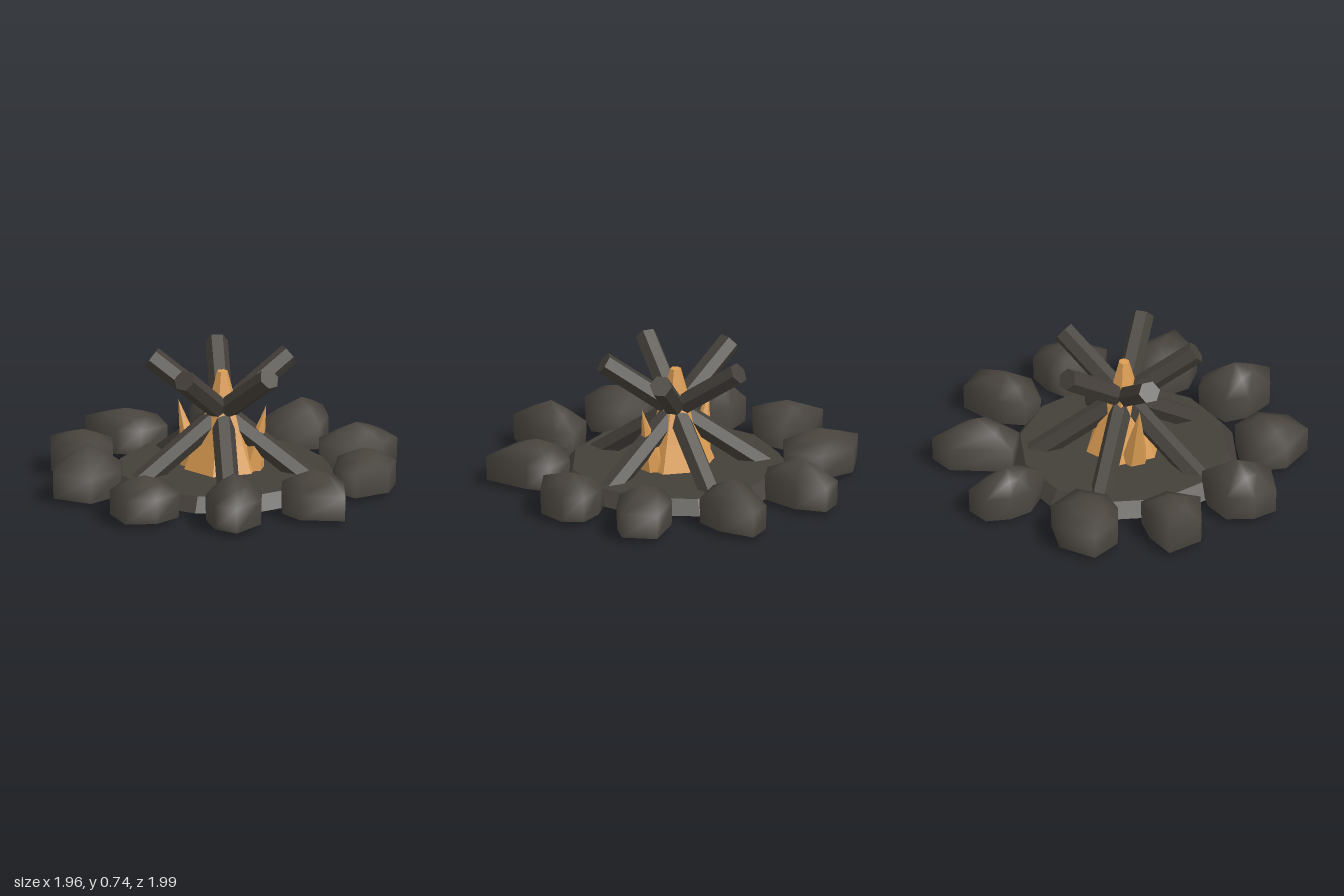
import * as THREE from 'three';

const charredWood = new THREE.MeshStandardMaterial({ color: 0x443f39, flatShading: true, side: THREE.DoubleSide });
charredWood.name = 'charred wood';
const stone = new THREE.MeshStandardMaterial({ color: 0x48433d, side: THREE.DoubleSide });
stone.name = 'stone';
const fire = new THREE.MeshStandardMaterial({ color: 0xdc9d53, flatShading: true, side: THREE.DoubleSide });
fire.name = 'fire';

function add(parent, name, geometry, material) {
  const mesh = new THREE.Mesh(geometry, material);
  mesh.name = name;
  parent.add(mesh);
  return mesh;
}

// Open lathe shell from [radius, height] pairs
const shell = (sides, ...profile) =>
  new THREE.LatheGeometry(profile.map(([r, y]) => new THREE.Vector2(r, y)), sides);

// Rock: smooth shell with footprint walls and a peaked top, open underneath
function rockGeometry(footprint, peak) {
  const n = footprint.length;
  const cx = footprint.reduce((s, p) => s + p[0], 0) / n;
  const cz = footprint.reduce((s, p) => s + p[1], 0) / n;
  const pos = [], index = [];
  const ring = (scale, y) => footprint.forEach(([x, z]) =>
    pos.push(cx + (x - cx) * scale, y, cz + (z - cz) * scale));
  ring(0.98, 0.03);           // foot of the walls
  ring(1, 0.17);              // shoulder
  ring(0.5, 0.17 + (peak - 0.17) * 0.55);
  pos.push(cx, peak, cz);
  for (let i = 0; i < n; i++) {
    const j = (i + 1) % n;
    for (let r = 0; r < 2; r++) {
      const a = r * n + i, b = r * n + j;
      index.push(a, b, b + n, a, b + n, a + n);
    }
    index.push(2 * n + i, 2 * n + j, 3 * n);
  }
  const g = new THREE.BufferGeometry();
  g.setAttribute('position', new THREE.Float32BufferAttribute(pos, 3));
  g.setIndex(index);
  g.computeVertexNormals();
  return g;
}

export function createModel() {
  const model = new THREE.Group();
  model.name = 'campfire';

  // Pit, logs and flames share a slightly offset centre
  const hearth = new THREE.Group();
  hearth.name = 'hearth';
  hearth.position.set(0.02, 0, 0.008);
  model.add(hearth);

  // Ash bed, hollow underneath
  add(hearth, 'ashBed', shell(12, [0.64, 0.02], [0.58, 0.1], [0, 0.1]), charredWood);

  // Five logs crossing above the middle
  const logGeometry = new THREE.CylinderGeometry(0.0625, 0.0625, 1.122, 6);
  for (let i = 0; i < 5; i++) {
    const pivot = new THREE.Group();
    pivot.name = 'logPivot';
    pivot.rotation.y = i * Math.PI * 2 / 5;
    hearth.add(pivot);
    const log = add(pivot, 'log', logGeometry, charredWood);
    log.position.set(0.055, 0.373, 0);
    log.rotation.z = 0.949;
  }

  // Main flame
  add(hearth, 'mainFlame', shell(6, [0.24, 0.05], [0.16, 0.25], [0.075, 0.48], [0.03, 0.65], [0, 0.65]), fire);

  // Side flames leaning outwards
  for (const side of [1, -1]) {
    const cone = new THREE.ConeGeometry(0.09, 0.42, 6, 1, true);
    cone.translate(0, 0.21, 0);
    const p = cone.attributes.position;
    for (let i = 0; i < p.count; i++) p.setX(i, p.getX(i) + side * (0.145 + p.getY(i) * 0.25));
    add(hearth, 'sideFlame', cone, fire).position.y = 0.05;
  }

  // Ring of rocks; each takes its peak height and its footprint in x, z
  const rocks = new THREE.Group();
  rocks.name = 'rockRing';
  model.add(rocks);
  const rock = (peak, ...footprint) =>
    add(rocks, 'rock', rockGeometry(footprint.reverse(), peak), stone);
  rock(0.255, [0.65, -0.1], [0.75, -0.17], [0.89, -0.2], [0.98, -0.11], [0.98, 0.06], [0.82, 0.21], [0.68, 0.12]);
  rock(0.265, [0.46, 0.42], [0.56, 0.28], [0.73, 0.26], [0.8, 0.38], [0.87, 0.63], [0.62, 0.67], [0.49, 0.57]);
  rock(0.305, [0.11, 0.64], [0.29, 0.55], [0.39, 0.61], [0.43, 0.79], [0.34, 0.99], [0.2, 0.94], [0.11, 0.78]);
  rock(0.255, [-0.4, 0.63], [-0.27, 0.58], [-0.12, 0.61], [-0.04, 0.77], [-0.13, 0.92], [-0.3, 0.975], [-0.43, 0.8]);
  rock(0.315, [-0.78, 0.31], [-0.62, 0.26], [-0.48, 0.28], [-0.45, 0.46], [-0.57, 0.65], [-0.8, 0.6], [-0.83, 0.46]);
  rock(0.25, [-0.98, -0.1], [-0.8, -0.15], [-0.64, -0.14], [-0.595, 0.03], [-0.71, 0.185], [-0.93, 0.11]);
  rock(0.25, [-0.88, -0.5], [-0.71, -0.65], [-0.5, -0.62], [-0.395, -0.43], [-0.51, -0.29], [-0.65, -0.28], [-0.79, -0.33]);
  rock(0.28, [-0.36, -0.8], [-0.33, -0.94], [-0.2, -0.99], [-0.1, -0.84], [-0.075, -0.62], [-0.18, -0.53], [-0.33, -0.67]);
  rock(0.285, [0.07, -0.63], [0.21, -0.95], [0.35, -1], [0.43, -0.8], [0.42, -0.63], [0.23, -0.53]);
  rock(0.265, [0.47, -0.4], [0.55, -0.55], [0.76, -0.66], [0.89, -0.51], [0.83, -0.4], [0.7, -0.28], [0.5, -0.3]);

  return model;
}
